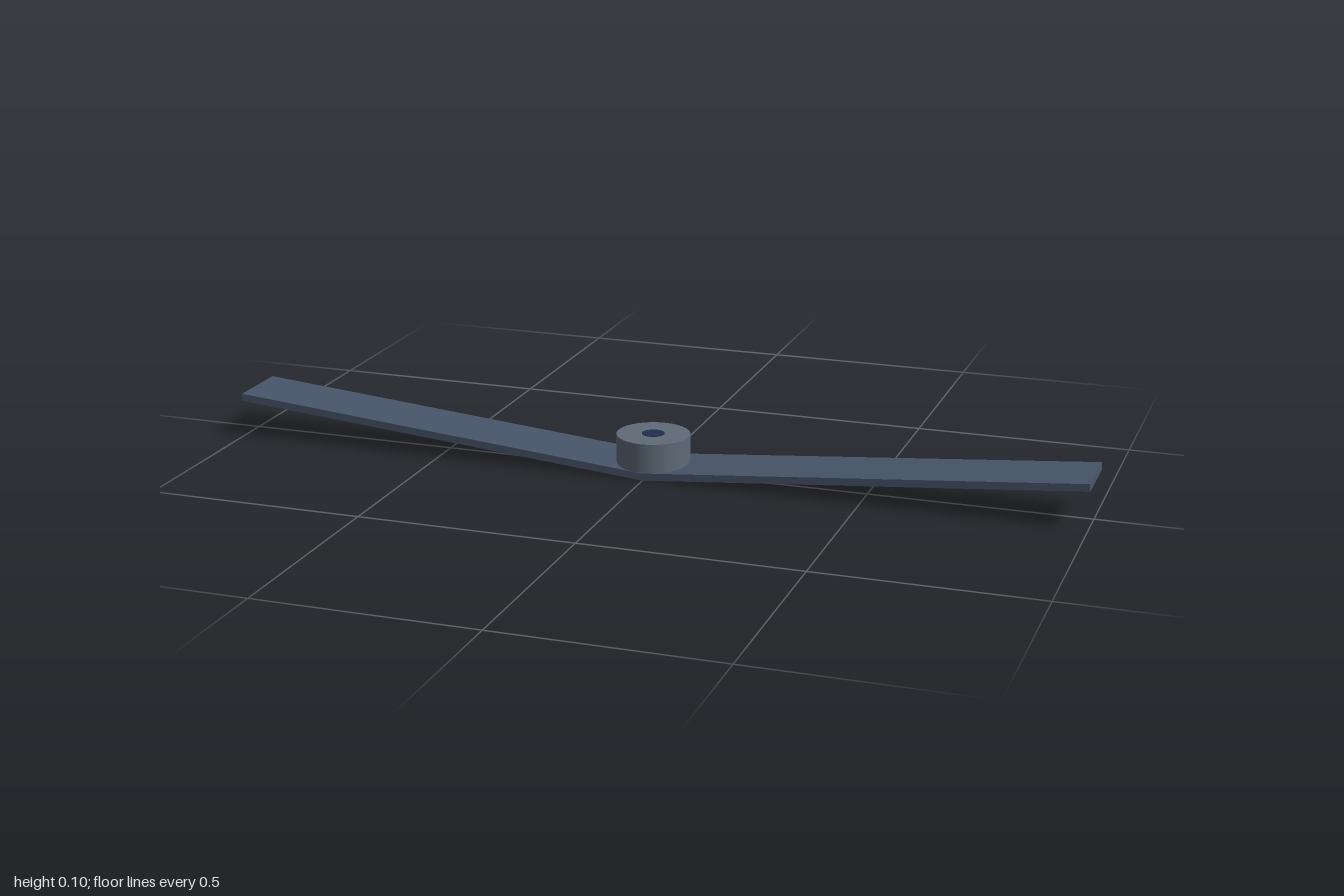
import * as THREE from 'three';

const BLADE_ANGLE = THREE.MathUtils.degToRad(5);
const THICKNESS = 0.017;
const HALF_WIDTH = 0.077;

const paint = (color) => new THREE.MeshStandardMaterial({ color });

export function createModel() {
  const group = new THREE.Group();
  const add = (name, geometry, color) => {
    const mesh = new THREE.Mesh(geometry, paint(color));
    mesh.name = name;
    group.add(mesh);
    return mesh;
  };

  // Two flat blades rising outward from the centre, ends cut square
  const rise = Math.tan(BLADE_ANGLE);
  const lean = THICKNESS * Math.sin(BLADE_ANGLE);
  for (const side of [1, -1]) {
    const section = new THREE.Shape([
      [0, 0],
      [1, rise],
      [1 - lean, rise + THICKNESS],
      [0, THICKNESS],
    ].map(([x, y]) => new THREE.Vector2(x * side, y)));
    const blade = new THREE.ExtrudeGeometry(section, { depth: 2 * HALF_WIDTH, bevelEnabled: false });
    blade.translate(0, 0, -HALF_WIDTH);
    add(side > 0 ? 'leftBlade' : 'rightBlade', blade, 0x475569);
  }

  // Round hub resting on the blades
  const hub = add('hub', new THREE.CylinderGeometry(0.084, 0.084, 0.067, 32), 0x5f6b78);
  hub.position.y = 0.0545;

  // Dark shaft filling the hub's bore
  const shaft = add('shaft', new THREE.CylinderGeometry(0.026, 0.026, 0.078, 24), 0x1e3050);
  shaft.position.y = 0.05;

  return group;
}
